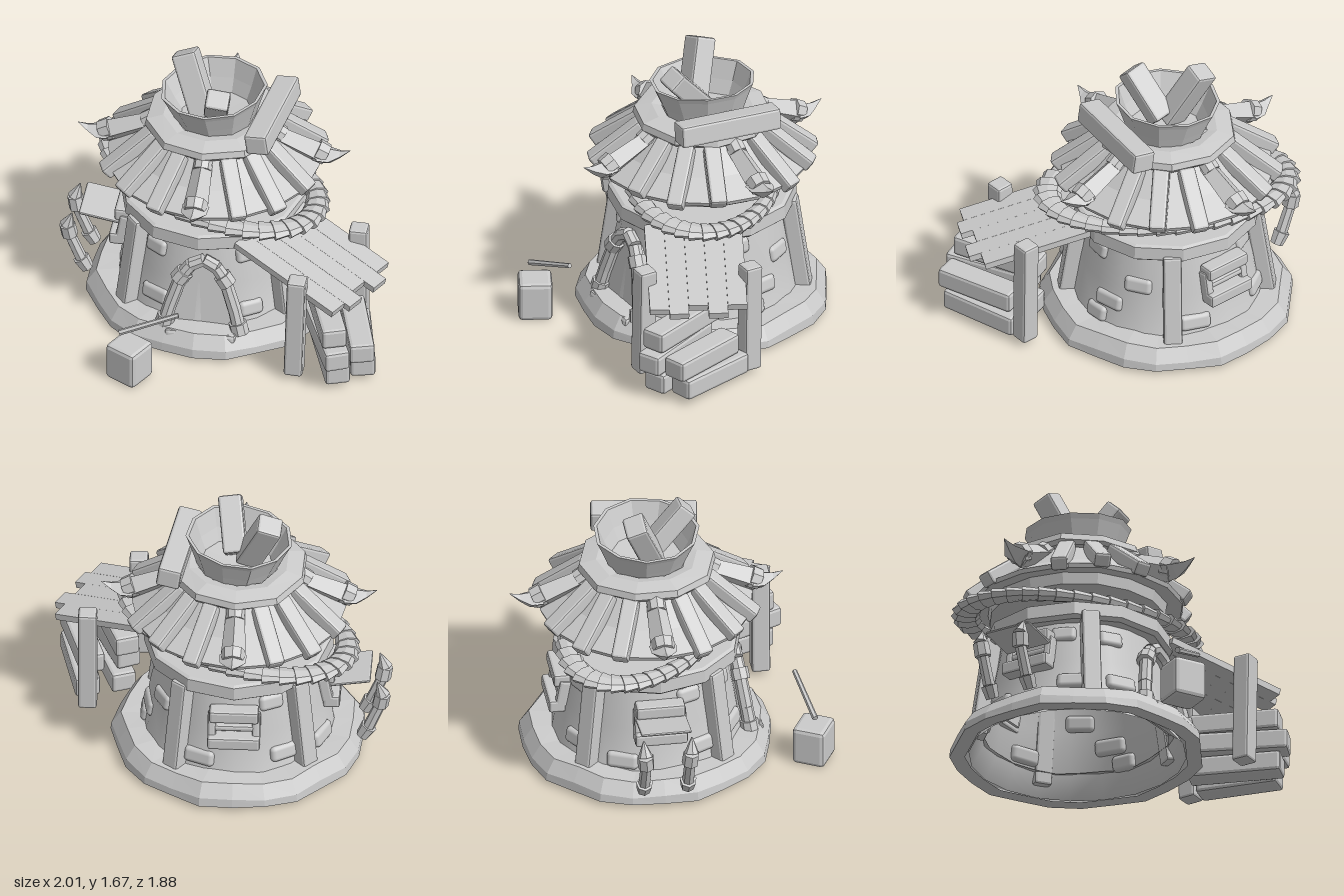
import * as THREE from 'three';
import { RoundedBoxGeometry } from 'three/addons/geometries/RoundedBoxGeometry.js';

const V = (x, y, z) => new THREE.Vector3(x, y, z);
const flat = new THREE.MeshStandardMaterial({ color: 0xcccccc, flatShading: true, side: THREE.DoubleSide });
const smooth = new THREE.MeshStandardMaterial({ color: 0xcccccc, side: THREE.DoubleSide });
const UP = V(0, 1, 0);

function add(parent, name, geo, x = 0, y = 0, z = 0, ry = 0, m = flat) {
  const mesh = new THREE.Mesh(geo, m);
  mesh.name = name;
  mesh.position.set(x, y, z);
  mesh.rotation.y = ry;
  parent.add(mesh);
  return mesh;
}

// Builds a y-aligned geometry of the right length and lays it from a to b
function span(parent, name, a, b, make) {
  const dir = b.clone().sub(a), len = dir.length();
  const mid = a.clone().add(b).multiplyScalar(0.5);
  const mesh = add(parent, name, make(len), mid.x, mid.y, mid.z);
  mesh.quaternion.setFromUnitVectors(UP, dir.normalize());
  return mesh;
}
const beam = (p, name, a, b, w, d) => span(p, name, a, b, (l) => new RoundedBoxGeometry(w, l, d, 1, 0.015));
const rod = (p, name, a, b, r0, r1, n = 8) => span(p, name, a, b, (l) => new THREE.CylinderGeometry(r1, r0, l, n));

// Lathe with a regular wobble of radius, and of height above its foot
function ring(parent, name, pts, sides, wobR = 0, wobY = 0, m = flat) {
  const g = new THREE.LatheGeometry(pts.map(([r, y]) => new THREE.Vector2(r, y)), sides);
  const p = g.attributes.position;
  for (let i = 0; i < p.count; i++) {
    const k = Math.floor(i / pts.length) % sides;
    const s = 1 + wobR * Math.sin(k * 2.4);
    const lift = p.getY(i) > pts[0][1] + 0.01 ? wobY * Math.sin(k * 1.7 + 1) : 0;
    p.setXYZ(i, p.getX(i) * s, p.getY(i) + lift, p.getZ(i) * s);
  }
  if (m === flat) g.computeVertexNormals();
  return add(parent, name, g, 0, 0, 0, 0, m);
}

function spoke(parent, name, angle) {
  const g = new THREE.Group();
  g.name = name;
  g.rotation.y = angle;
  parent.add(g);
  return g;
}

const wallR = (y) => 0.57 - 0.19 * (y - 0.1);

function buildTower(tower) {
  // Foundation, wall and bands
  ring(tower, 'stoneFoundation', [[0.65, 0.02], [0.74, 0.02], [0.735, 0.07], [0.68, 0.15], [0.54, 0.15]], 24, 0.02, 0.008);
  ring(tower, 'wall', [[0.64, 0.02], [0.56, 0.15], [0.52, 0.4], [0.46, 0.69]], 20, 0, 0, smooth);
  ring(tower, 'wallBand', [[0, 0.67], [0.53, 0.66], [0.555, 0.68], [0.55, 0.76], [0.53, 0.77], [0, 0.77]], 12, 0.006);

  // Posts leaning with the wall
  for (const a of [-0.87, 0.97, 2.5, -2.36])
    beam(spoke(tower, 'wallPost', a), 'post', V(0, 0.08, 0.6), V(0, 0.7, 0.51), 0.11, 0.1);

  // Loose stones set into the wall
  const stones = [[-0.6, 0.56], [0.62, 0.57], [-0.52, 0.26], [0.58, 0.22], [1.45, 0.58], [1.75, 0.3], [1.6, 0.19],
    [2.1, 0.45], [2.75, 0.22], [3.6, 0.58], [3.7, 0.24], [4.3, 0.2], [5.1, 0.58], [5.2, 0.25]];
  stones.forEach(([a, y], i) => {
    const s = spoke(tower, 'wallStone', a);
    add(s, 'stone', new RoundedBoxGeometry(0.15 + 0.02 * (i % 3), 0.1, 0.06, 2, 0.028), 0, y, wallR(y) - 0.01, 0, smooth)
      .rotation.x = -0.19;
  });

  // Back and side windows
  for (const a of [Math.PI, -Math.PI / 2]) {
    const s = spoke(tower, 'window', a);
    add(s, 'windowPane', new THREE.BoxGeometry(0.26, 0.18, 0.03), 0, 0.46, 0.5);
    for (const [y, z, w] of [[0.55, 0.52, 0.29], [0.46, 0.525, 0.24], [0.38, 0.55, 0.31]])
      add(s, 'windowSlat', new RoundedBoxGeometry(w, w > 0.25 ? 0.08 : 0.04, w > 0.25 ? 0.1 : 0.05, 1, 0.015), 0, y, z);
    for (const x of [-0.13, 0.13])
      beam(s, 'jamb', V(x, 0.38, 0.53), V(x, 0.55, 0.5), 0.05, 0.07);
  }
  const side = spoke(tower, 'sideShutter', -Math.PI / 2);
  beam(side, 'shutter', V(0, 0.5, 0.54), V(0, 0.54, 0.78), 0.3, 0.02);

  // Curved tusks beside the side window
  for (const x of [-0.13, 0.13]) {
    const pts = [V(x, 0.13, 0.73), V(x, 0.2, 0.77), V(x, 0.36, 0.835), V(x * 1.05, 0.44, 0.85), V(x * 1.1, 0.53, 0.82)];
    [[0.04, 0.05], [0.036, 0.034], [0.05, 0.048], [0.045, 0.004]].forEach(([r0, r1], i) =>
      rod(side, 'tusk', pts[i], pts[i + 1], r0, r1, 7));
  }

  // Arched doorway, leaning back with the wall
  const door = new THREE.Group();
  door.name = 'doorway';
  door.position.set(0.03, 0.13, 0.57);
  door.rotation.x = -0.15;
  tower.add(door);
  const arch = new THREE.Shape();
  arch.moveTo(-0.21, 0);
  arch.lineTo(0.21, 0);
  arch.lineTo(0.14, 0.32);
  arch.quadraticCurveTo(0.08, 0.44, 0, 0.45);
  arch.quadraticCurveTo(-0.08, 0.44, -0.14, 0.32);
  add(door, 'doorPanel', new THREE.ExtrudeGeometry(arch, { depth: 0.07, bevelEnabled: false, curveSegments: 5 }), 0, 0, -0.08);
  const half = [V(0.22, 0.03, 0.02), V(0.19, 0.15, 0.02), V(0.13, 0.34, 0.02), V(0.075, 0.42, 0.02), V(0, 0.46, 0.02)];
  for (const m of [-1, 1]) {
    const p = half.map((v) => V(v.x * m, v.y, v.z));
    for (let i = 0; i < 4; i++) rod(door, 'doorFrame', p[i], p[i + 1], 0.042, 0.04);
    for (const i of [0, 2]) {
      const d = p[i + 1].clone().sub(p[i]).setLength(0.035);
      rod(door, 'frameKnob', p[i].clone().sub(d), p[i].clone().add(d), 0.055, 0.055);
    }
  }
  add(door, 'doorStep', new RoundedBoxGeometry(0.42, 0.06, 0.14, 1, 0.02), 0, -0.02, 0.03);
}

function buildRoof(tower) {
  // Twisted rope on a slanted oval below the eaves, broadest at its two ends
  const n = 40, c = Math.cos(0.52), s = Math.sin(0.52);
  const at = (t) => {
    const x = 0.71 * Math.cos(t), z = 0.42 * Math.sin(t);
    return V(c * x - s * z, 0.83, s * x + c * z);
  };
  for (let i = 0; i < n; i++) {
    const t = i / n * Math.PI * 2, a = at(t), d = at(t + 0.2).sub(a);
    const g = new THREE.CylinderGeometry(0.042, 0.03, d.length(), 8).rotateX(Math.PI / 2);
    const strand = add(tower, 'ropeStrand', g, a.x + d.x / 2, 0.83, a.z + d.z / 2, Math.atan2(d.x, d.z));
    strand.scale.x = 1.2 + 0.9 * Math.cos(t) ** 2;
  }

  // Roof drum, cone and collar
  ring(tower, 'roofCone', [[0, 0.89], [0.52, 0.89], [0.53, 0.96], [0.62, 0.95], [0.63, 0.975], [0.48, 1.065], [0.36, 1.2], [0.25, 1.22]], 16, 0.006);
  ring(tower, 'roofCollar', [[0.27, 1.22], [0.39, 1.21], [0.41, 1.23], [0.4, 1.27], [0.3, 1.29], [0.24, 1.28]], 10, 0.01, 0.006);

  // Radial rafters, with a horned ridge in each main direction
  for (let i = 0; i < 16; i++) {
    const g = spoke(tower, i % 4 ? 'rafter' : 'hornedRidge', i * Math.PI / 8);
    if (i % 4) {
      const drop = 0.015 * Math.sin(i * 2.3);
      beam(g, 'rafterBeam', V(0, 1.2, 0.36), V(0, 0.97 + drop, 0.66), 0.1, 0.085);
      continue;
    }
    rod(g, 'ridgeKnob', V(0, 1.215, 0.34), V(0, 1.165, 0.41), 0.055, 0.055);
    rod(g, 'ridgePole', V(0, 1.18, 0.36), V(0, 1.05, 0.66), 0.055, 0.075, 4);
    rod(g, 'ridgeCuff', V(0, 1.085, 0.61), V(0, 1.055, 0.67), 0.07, 0.065);
    // Upturned horn: diamond sections tapering to a point
    const sec = [[0.62, 1.06, 0.08, 0.075], [0.69, 1.055, 0.075, 0.06], [0.75, 1.07, 0.035, 0.03], [0.81, 1.1, 0.002, 0.002]];
    const pos = [], idx = [];
    sec.forEach(([z, y, w, h], k) => {
      pos.push(w, y, z, 0, y + h * 0.7, z, -w, y, z, 0, y - h, z);
      if (k) for (let j = 0; j < 4; j++) {
        const a = k * 4 - 4 + j, b = k * 4 - 4 + (j + 1) % 4;
        idx.push(a, b, a + 4, b, b + 4, a + 4);
      }
    });
    const horn = new THREE.BufferGeometry();
    horn.setAttribute('position', new THREE.Float32BufferAttribute(pos, 3));
    horn.setIndex(idx);
    horn.computeVertexNormals();
    add(g, 'horn', horn);
  }

  // Open chimney bowl, slightly tilted, and the logs around it
  const bowl = ring(tower, 'chimneyBowl', [[0, 1.25], [0.23, 1.26], [0.26, 1.34], [0.3, 1.44], [0.315, 1.47], [0.295, 1.47], [0.25, 1.36], [0.21, 1.28], [0, 1.27]], 11, 0.015);
  bowl.rotation.z = 0.08;
  bowl.position.x = 0.115;
  beam(tower, 'chimneyLog', V(-0.05, 1.28, 0.04), V(-0.19, 1.63, -0.1), 0.15, 0.13);
  beam(tower, 'chimneyLog', V(0.02, 1.32, 0.02), V(0.065, 1.57, 0.25), 0.14, 0.12);
  beam(tower, 'roofLog', V(0.4, 1.335, -0.27), V(0.31, 1.335, 0.35), 0.14, 0.13);
}

function buildStall(stall) {
  // Sloping canopy of uneven boards, laid from the wall outward
  const u = V(0.88, 0, 0.47), v = V(0.47, 0, -0.88);
  const pos = (a, b, y) => V(0.2, y, 0.44).addScaledVector(u, a).addScaledVector(v, b);
  [0.63, 0.67, 0.6, 0.67, 0.6].forEach((l, i) => {
    const b = 0.055 + i * 0.115;
    const a0 = pos(-0.1, b, 0.72), a1 = pos(l, b, 0.7 - 0.235 * l);
    const d = a1.clone().sub(a0).normalize();
    const board = span(stall, 'canopyBoard', a0, a1, (len) => new THREE.BoxGeometry(0.114, len, 0.04));
    board.quaternion.setFromRotationMatrix(new THREE.Matrix4().makeBasis(v, d, v.clone().cross(d)));
  });
  // Posts
  beam(stall, 'stallPost', V(0.51, 0.03, 0.64), V(0.53, 0.71, 0.64), 0.11, 0.11);
  beam(stall, 'stallPost', V(0.8, 0.03, 0.09), V(0.8, 0.71, 0.08), 0.11, 0.11);
  // Two stacks of logs, three and two high
  for (let i = 0; i < 3; i++) {
    const y = 0.1 + i * 0.132;
    for (const [x, z, a, l] of [[0.69, 0.47, 0.36, 0.56], [0.86, 0.39, 0.24, 0.5]].slice(0, i < 2 ? 2 : 1))
      add(stall, 'stackedLog', new RoundedBoxGeometry(0.15, 0.128, l, 1, 0.02),
        x - 0.01 * i, y, z + (i === 1 ? 0.05 : 0), a + (i === 1 ? 0.06 : 0));
  }
}

export function createModel() {
  const model = new THREE.Group();
  model.name = 'hutWithStall';
  const group = (name, x = 0, z = 0) => {
    const g = new THREE.Group();
    g.name = name;
    g.position.set(x, 0, z);
    model.add(g);
    return g;
  };
  const tower = group('tower', -0.1, -0.13);
  buildTower(tower);
  buildRoof(tower);
  buildStall(group('stall'));

  // Mallet: block head on the ground with a thin handle
  const mallet = group('mallet');
  add(mallet, 'malletHead', new RoundedBoxGeometry(0.21, 0.24, 0.2, 1, 0.025), -0.44, 0.12, 0.81, -0.5);
  rod(mallet, 'malletHandle', V(-0.5, 0.31, 0.81), V(-0.16, 0.43, 0.74), 0.018, 0.015, 6);
  return model;
}
